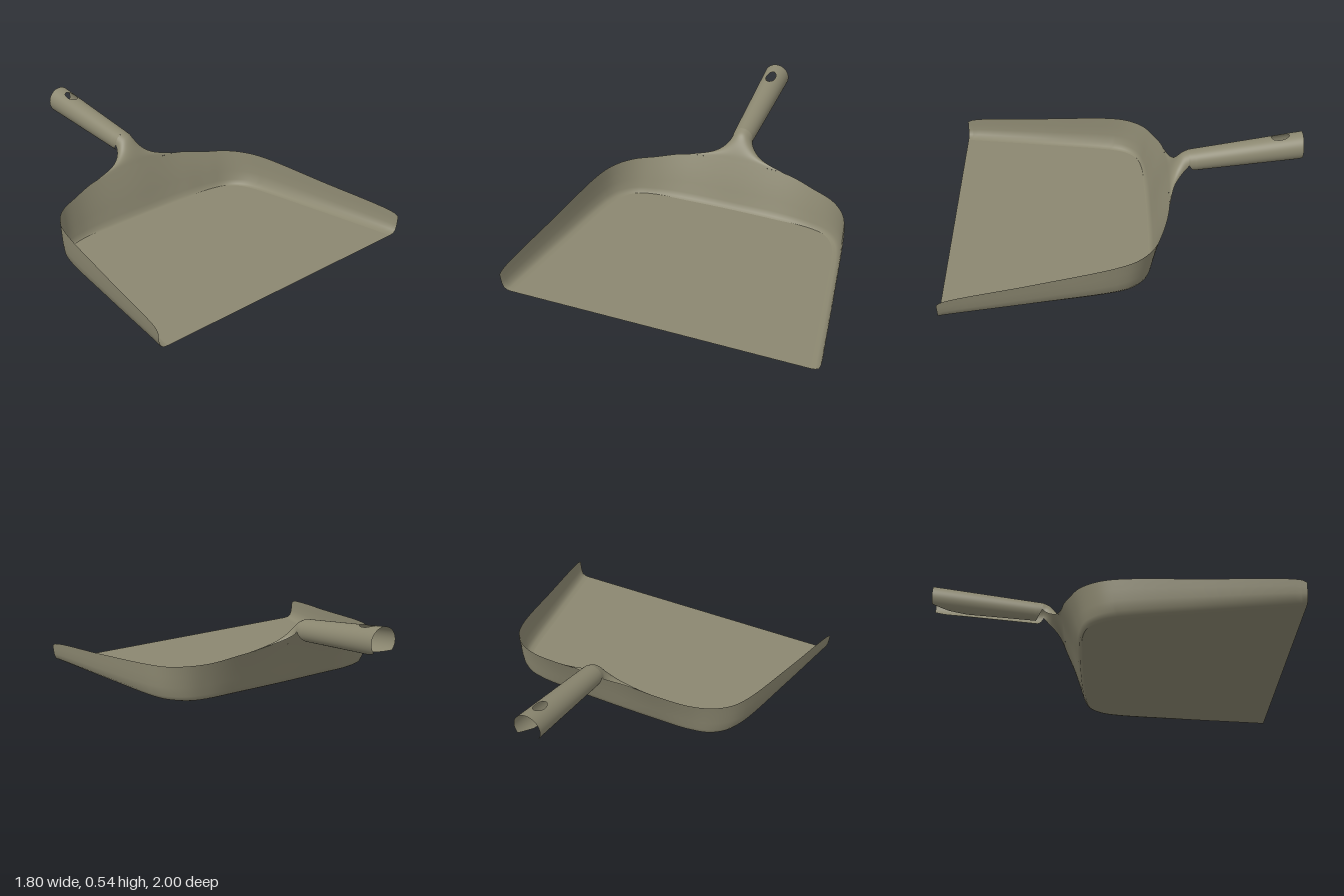
import * as THREE from 'three';

const V = (x, y, z) => new THREE.Vector3(x, y, z);
const lerp = THREE.MathUtils.lerp;

// Smooth sheet from a grid of points: point(i, j) -> Vector3, skip(i, j) leaves a cell open
function sheet(rows, cols, point, skip = () => false) {
  const pos = [], idx = [];
  for (let i = 0; i <= rows; i++)
    for (let j = 0; j <= cols; j++) pos.push(...point(i, j).toArray());
  for (let i = 0; i < rows; i++)
    for (let j = 0; j < cols; j++) {
      if (skip(i, j)) continue;
      const a = i * (cols + 1) + j, b = a + cols + 1;
      idx.push(a, b, a + 1, b, b + 1, a + 1);
    }
  const g = new THREE.BufferGeometry();
  g.setAttribute('position', new THREE.Float32BufferAttribute(pos, 3));
  g.setIndex(idx);
  g.computeVertexNormals();
  return g;
}

// Left half of a rim, mirrored into a full curve through the centre point
function mirroredCurve(half, centre) {
  const pts = half.map(p => V(...p));
  const other = half.map(([x, y, z]) => V(-x, y, z)).reverse();
  return new THREE.CatmullRomCurve3([...pts, V(...centre), ...other]);
}

// Piecewise linear lookup in [position, value] pairs
function along(table, s) {
  for (let i = 1; i < table.length; i++) {
    const [a, va] = table[i - 1], [b, vb] = table[i];
    if (s <= b) return lerp(va, vb, (s - a) / (b - a));
  }
  return table[table.length - 1][1];
}

export function createModel() {
  const group = new THREE.Group();
  const plastic = new THREE.MeshStandardMaterial({ color: 0x8b8770, side: THREE.DoubleSide });
  plastic.name = 'olive grey plastic';
  const add = (name, geometry) => {
    const mesh = new THREE.Mesh(geometry, plastic);
    mesh.name = name;
    group.add(mesh);
  };

  // Foot and upper rim of the wall, paired point by point
  const foot = mirroredCurve([
    [0.84, 0, 1], [0.835, 0, 0.97], [0.763, 0, 0.5], [0.69, 0, 0.07],
    [0.655, 0, -0.02], [0.59, 0, -0.085], [0.48, 0, -0.115], [0.29, 0, -0.12],
  ], [0, 0, -0.125]);
  const rim = mirroredCurve([
    [0.9, 0.1, 1], [0.896, 0.116, 0.97], [0.825, 0.16, 0.5], [0.748, 0.2, 0.06],
    [0.7, 0.207, -0.05], [0.62, 0.215, -0.13], [0.5, 0.225, -0.185], [0.3, 0.26, -0.235],
  ], [0, 0.265, -0.232]);

  // Floor
  const N = 128;
  const outline = foot.getPoints(N).map(p => new THREE.Vector2(p.x, p.z));
  add('floor', new THREE.ShapeGeometry(new THREE.Shape(outline)).rotateX(Math.PI / 2));

  // Wall: rounded foot at the sides, straighter slope at the back
  const rise = [0, 0.03, 0.14, 0.4, 0.7, 1];
  const sideOut = [0, 0.4, 0.72, 0.88, 0.95, 1];
  const backOut = [0, 0.13, 0.24, 0.45, 0.7, 1];
  add('wall', sheet(N, 5, (i, j) => {
    const a = foot.getPoint(i / N), b = rim.getPoint(i / N);
    const back = THREE.MathUtils.smoothstep(8 - Math.abs(i / N * 16 - 8), 3, 6);
    const out = lerp(sideOut[j], backOut[j], back);
    return V(lerp(a.x, b.x, out), b.y * rise[j], lerp(a.z, b.z, out));
  }));

  // Neck: arched sections [half width, edge y, edge z, crown y, crown z]
  const stages = [
    [0.15, 0.295, -0.272, 0.315, -0.253],
    [0.09, 0.325, -0.312, 0.365, -0.282],
    [0.065, 0.352, -0.345, 0.41, -0.318],
    [0.062, 0.37, -0.36, 0.432, -0.36],
  ];
  const M = 32;
  const ribs = Array.from({ length: M + 1 }, (_, j) => {
    const a = (j / M - 0.5) * Math.PI, s = Math.sin(a), c = Math.cos(a);
    return new THREE.CatmullRomCurve3([
      rim.getPoint((8 - s) / 16),
      ...stages.map(([w, ey, ez, cy, cz]) => V(w * s, lerp(ey, cy, c), lerp(ez, cz, c))),
    ]);
  });
  add('neck', sheet(20, M, (i, j) => ribs[j].getPoint(i / 20)));

  // Handle: hollow grip, slit underneath, with a hanging hole through the top
  const slit = [[0.36, 90], [0.4, 18], [0.8, 10], [0.9, 22], [1, 48]];
  const R = 64, C = 60;
  const hole = { z: -0.875, rz: 0.05, rx: 0.03 };
  const gripPoint = (i, j) => {
    let z = lerp(-0.36, -1, i / R);
    const t = i / R;
    const r = lerp(0.062, 0.078, t), cy = lerp(0.37, 0.461, t);
    const span = Math.PI - THREE.MathUtils.degToRad(along(slit, -z));
    let a = (j / C * 2 - 1) * span;
    // Points inside the hole are pushed out to its oval edge
    let inside = false;
    const ex = a * r / hole.rx, ez = (z - hole.z) / hole.rz, d = Math.hypot(ex, ez);
    if (d < 1) {
      inside = true;
      if (d > 0.01) {
        a /= d;
        z = hole.z + (z - hole.z) / d;
      }
    }
    return { inside, p: V(r * Math.sin(a), cy + r * Math.cos(a), z) };
  };
  const open = (i, j) => [[0, 0], [1, 0], [0, 1], [1, 1]]
    .every(([u, v]) => gripPoint(i + u, j + v).inside);
  add('handle', sheet(R, C, (i, j) => gripPoint(i, j).p, open));

  return group;
}
